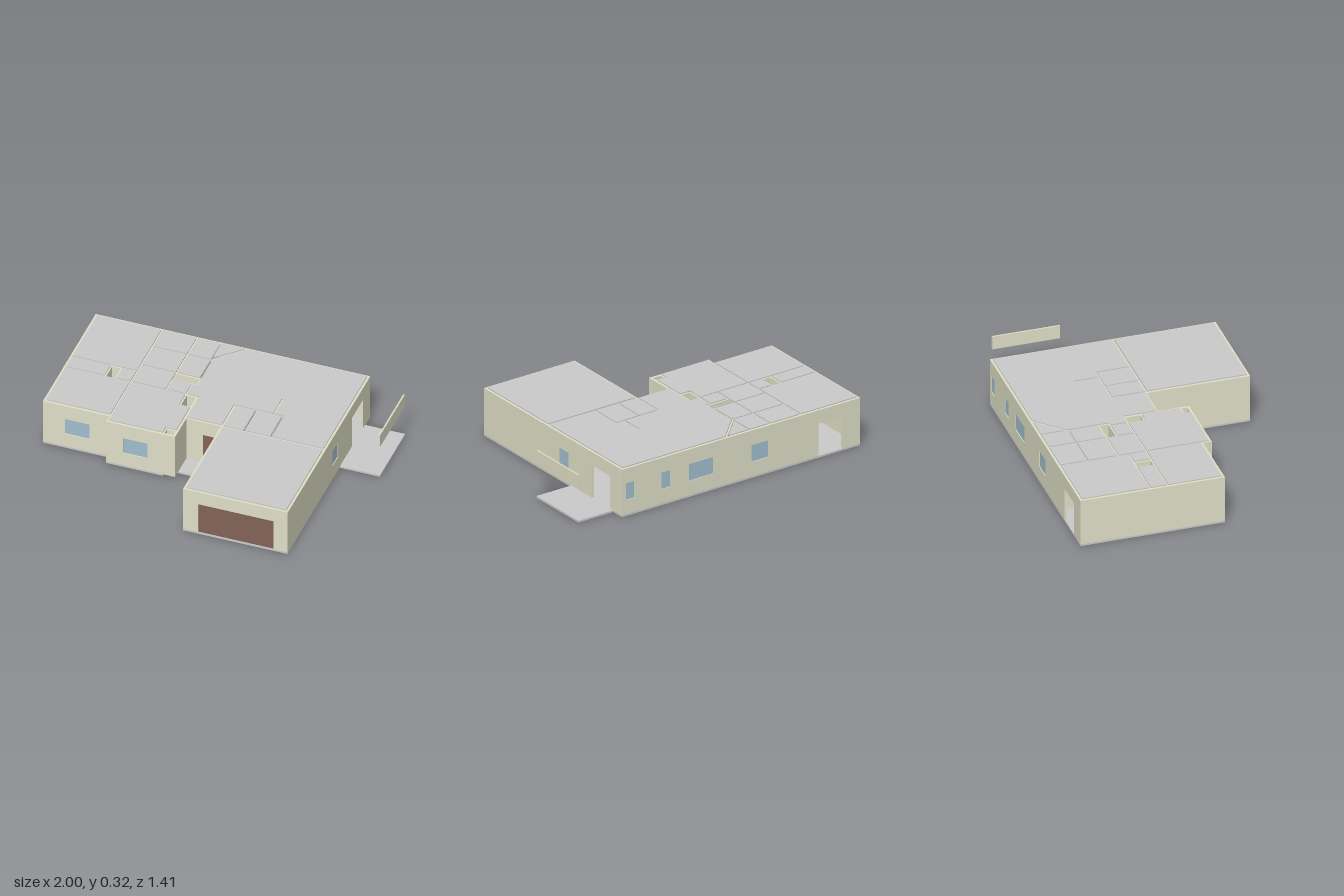
import * as THREE from 'three';

const material = (color) => new THREE.MeshStandardMaterial({ color });
const BASE = 0.012, TOP = 0.312;

export function createModel() {
  const house = new THREE.Group();
  house.name = 'house';
  const grey = material(0xcccccc), cream = material(0xe0e0c8);
  const glass = material(0xa3bfd0), brown = material(0x84645a);

  // Horizontal panel from a plan outline of [x, z] corners
  function slab(name, corners, bottom, top) {
    const shape = new THREE.Shape(corners.map(([x, z]) => new THREE.Vector2(x, z)));
    const geo = new THREE.ExtrudeGeometry(shape, { depth: top - bottom, bevelEnabled: false });
    geo.rotateX(Math.PI / 2);
    const mesh = new THREE.Mesh(geo, grey);
    mesh.name = name;
    mesh.position.y = top;
    house.add(mesh);
  }
  const rect = (x0, x1, z0, z1) => [[x0, z0], [x1, z0], [x1, z1], [x0, z1]];

  // Wall along a centre line; openings are measured along it: [from, to, bottom, top, filling, name]
  function wall(name, x0, z0, x1, z1, t, openings = []) {
    const len = Math.hypot(x1 - x0, z1 - z0);
    const group = new THREE.Group();
    group.name = name;
    const shape = new THREE.Shape();
    shape.moveTo(0, BASE);
    const holes = [];
    for (const [a, b, lo, hi, fill, label] of openings) {
      if (lo <= BASE) {
        shape.lineTo(a, BASE).lineTo(a, hi).lineTo(b, hi).lineTo(b, BASE);
      } else {
        holes.push(new THREE.Path().moveTo(a, lo).lineTo(a, hi).lineTo(b, hi).lineTo(b, lo).closePath());
      }
      if (fill) {
        const pane = new THREE.Mesh(new THREE.BoxGeometry(b - a, hi - lo, t * 0.4), fill);
        pane.name = label;
        pane.position.set((a + b) / 2, (lo + hi) / 2, 0);
        group.add(pane);
      }
    }
    shape.lineTo(len, BASE).lineTo(len, TOP).lineTo(0, TOP).closePath();
    shape.holes = holes;
    const geo = new THREE.ExtrudeGeometry(shape, { depth: t, bevelEnabled: false });
    geo.translate(0, 0, -t / 2);
    const body = new THREE.Mesh(geo, cream);
    body.name = name + 'Body';
    group.add(body);
    group.position.set(x0, 0, z0);
    group.rotation.y = -Math.atan2(z1 - z0, x1 - x0);
    house.add(group);
  }
  const windowAt = (a, b) => [a, b, 0.105, 0.215, glass, 'windowPane'];
  const doorAt = (a, b, h, label) => [a, b, BASE, h, brown, label];
  const openAt = (a, b) => [a, b, BASE, 0.225];

  // Floor with porch, and the side patio
  slab('floor', [[-1, -0.71], [0.745, -0.71], [0.745, 0.705], [0.08, 0.705], [0.08, 0.195],
    [-0.215, 0.195], [-0.215, 0.25], [-0.58, 0.25], [-0.58, 0.195], [-1, 0.195]], 0, BASE);
  slab('patio', rect(0.745, 1, -0.62, -0.19), 0, BASE);

  // Outer walls
  const T = 0.016, h = T / 2;
  wall('backWall', -1, -0.71 + h, 0.745, -0.71 + h, T, [
    openAt(0.13, 0.307), windowAt(0.67, 0.795), windowAt(1.075, 1.255),
    windowAt(1.39, 1.457), windowAt(1.652, 1.717)]);
  wall('leftWall', 0.745 - h, -0.71, 0.745 - h, 0.705, T, [openAt(0.125, 0.31), windowAt(0.55, 0.645)]);
  wall('rightWall', -1 + h, -0.71, -1 + h, 0.195, T);
  wall('bedroomFrontWall', -1, 0.195 - h, -0.572, 0.195 - h, T, [windowAt(0.14, 0.295)]);
  wall('bayFrontWall', -0.58, 0.25 - h, -0.14, 0.25 - h, T, [windowAt(0.11, 0.265)]);
  wall('baySideWall', -0.14 - h, -0.16, -0.14 - h, 0.25, T);
  wall('entryWall', -0.14, 0.055 - h, 0.08, 0.055 - h, T, [doorAt(0.105, 0.195, 0.215, 'frontDoor')]);
  wall('garageSideWall', 0.08 + h, -0.16, 0.08 + h, 0.705, T);
  wall('garageFrontWall', 0.08, 0.705 - h, 0.745, 0.705 - h, T, [doorAt(0.095, 0.575, 0.222, 'garageDoor')]);

  // Inner walls: [x0, z0, x1, z1]
  [
    [-0.572, -0.7, -0.572, 0.25], [-0.348, -0.7, -0.348, -0.335], [-0.348, -0.27, -0.348, -0.16],
    [-0.204, -0.53, -0.204, -0.335], [-0.572, -0.534, -0.2, -0.534], [-0.2, -0.525, -0.025, -0.7],
    [-0.572, -0.335, -0.19, -0.335], [-0.35, -0.27, -0.19, -0.27], [-0.193, -0.335, -0.193, -0.27],
    [-0.99, -0.27, -0.572, -0.27], [-0.99, -0.16, -0.15, -0.16], [-0.735, -0.27, -0.735, -0.16],
    [-0.67, -0.27, -0.67, -0.16], [-0.22, -0.27, -0.22, -0.055], [-0.22, -0.055, -0.15, -0.055],
    [-0.22, 0.19, -0.14, 0.19], [-0.217, 0.185, -0.217, 0.24], [0.09, 0.055, 0.74, 0.055],
    [0.08, -0.16, 0.395, -0.16], [0.335, -0.31, 0.335, -0.16], [0.217, -0.16, 0.217, 0.055],
    [0.387, -0.16, 0.387, 0.055],
  ].forEach(([a, b, c, d], i) => wall('innerWall' + (i + 1), a, b, c, d, 0.01));

  // Ceiling panels, room by room, leaving the wall tops and three small shafts open
  const ceiling = (corners) => slab('ceilingPanel', corners, TOP, 0.319);
  [
    [-0.985, -0.577, -0.695, -0.275], [-0.567, -0.353, -0.695, -0.53], [-0.567, -0.353, -0.52, -0.34],
    [-0.343, -0.2, -0.695, -0.53], [-0.343, -0.2, -0.52, -0.34], [-0.567, -0.353, -0.33, -0.165],
    [-0.343, -0.225, -0.265, -0.165], [-0.985, -0.74, -0.265, -0.165], [-0.665, -0.577, -0.265, -0.165],
    [-0.985, -0.577, -0.155, 0.18], [0.095, 0.221, -0.155, 0.05], [0.23, 0.39, -0.155, 0.05],
    [0.095, 0.73, 0.065, 0.69],
  ].forEach((r) => ceiling(rect(...r)));
  ceiling([[-0.567, -0.155], [-0.225, -0.155], [-0.225, -0.05], [-0.155, -0.05],
    [-0.155, 0.185], [-0.222, 0.185], [-0.222, 0.235], [-0.567, 0.235]]);
  ceiling([[-0.19, -0.695], [-0.045, -0.695], [-0.19, -0.55]]);
  ceiling([[-0.19, -0.525], [-0.022, -0.695], [0.73, -0.695], [0.73, 0.05], [0.4, 0.05], [0.4, -0.165],
    [0.34, -0.165], [0.34, -0.315], [0.33, -0.315], [0.33, -0.165], [0.082, -0.165], [0.082, 0.045],
    [-0.14, 0.045], [-0.14, -0.165], [-0.215, -0.165], [-0.215, -0.265], [-0.188, -0.265]]);

  // Free header beam along the patio's outer edge
  const beam = new THREE.Mesh(new THREE.BoxGeometry(0.01, 0.087, 0.425), cream);
  beam.name = 'patioBeam';
  beam.position.set(0.995, 0.2685, -0.4025);
  house.add(beam);

  return house;
}
